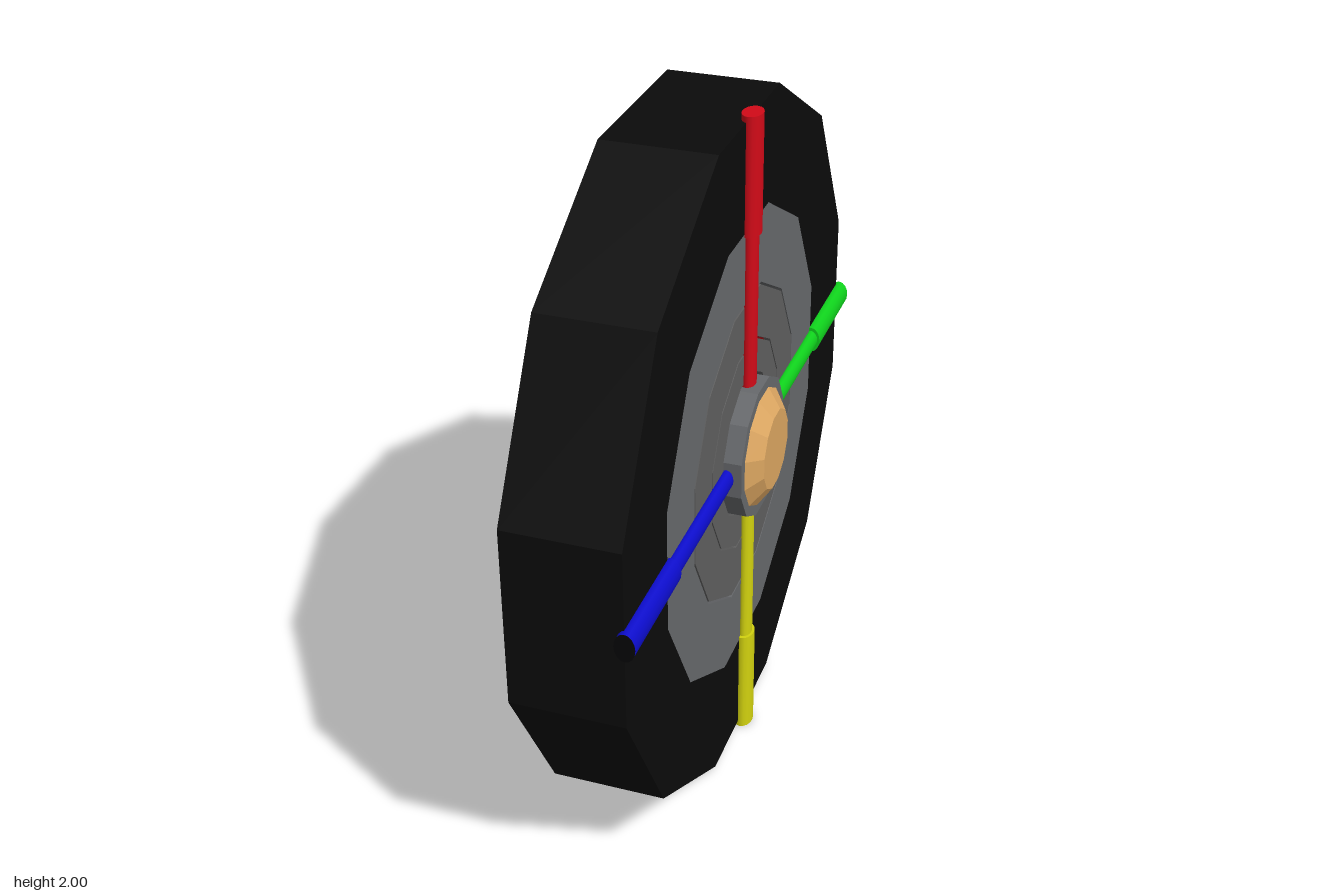
import * as THREE from 'three';

const mat = (color) => new THREE.MeshStandardMaterial({ color, flatShading: true });
const rubber = mat(0x0b0b0b), steel = mat(0x67696c), plate = mat(0x606060);
const red = mat(0xcc0a14), brass = mat(0xdca661);

// Twelve-sided solid around the x axis; profile holds [apothem, x] pairs
function turned(name, profile, material) {
  const k = 1 / Math.cos(Math.PI / 12);
  const pts = profile.map(([r, x]) => new THREE.Vector2(r * k, x));
  const geo = new THREE.LatheGeometry(pts, 12, Math.PI / 12);
  geo.rotateZ(-Math.PI / 2);
  const mesh = new THREE.Mesh(geo, material);
  mesh.name = name;
  return mesh;
}

const ring = (name, ri, ro, x0, x1, material) =>
  turned(name, [[ri, x0], [ro, x0], [ro, x1], [ri, x1], [ri, x0]], material);

// Spoke pointing up, made of a thin rod and a thicker grip, slightly flattened in x
function spoke(name, color, capColor, angle) {
  const g = new THREE.Group();
  g.name = name;
  const side = new THREE.MeshStandardMaterial({ color });
  const cap = new THREE.MeshStandardMaterial({ color: capColor });
  for (const [part, r, a, b] of [['rod', 0.031, 0.19, 0.67], ['grip', 0.042, 0.66, 1]]) {
    const geo = new THREE.CylinderGeometry(r, r, b - a, 16);
    geo.scale(0.68, 1, 1);
    geo.translate(0.146, (a + b) / 2, 0);
    const mesh = new THREE.Mesh(geo, [side, cap, side]);
    mesh.name = part;
    g.add(mesh);
  }
  g.rotation.x = angle;
  return g;
}

export function createModel() {
  const wheel = new THREE.Group();
  wheel.name = 'wheel';
  wheel.position.y = 1;

  // Tyre and rim
  wheel.add(ring('tyre', 0.67, 0.983, -0.18, 0.14, rubber));
  wheel.add(ring('rim', 0.455, 0.67, -0.18, 0.14, steel));

  // Inner rings, separated by narrow gaps
  wheel.add(ring('brakeRing', 0.306, 0.448, -0.18, 0.12, red));
  wheel.add(ring('brakeCover', 0.306, 0.448, 0.12, 0.14, plate));
  wheel.add(ring('innerRing', 0.208, 0.3, -0.18, 0.14, plate));

  // Hub and its bevelled cap
  wheel.add(turned('hub', [[0, -0.235], [0.2, -0.235], [0.2, 0.19], [0, 0.19]], steel));
  wheel.add(turned('hubCap', [[0, 0.185], [0.17, 0.185], [0.17, 0.19], [0.115, 0.23], [0, 0.23]], brass));

  // Four coloured spokes
  wheel.add(spoke('topSpoke', 0xd20a18, 0xd20a18, 0));
  wheel.add(spoke('frontSpoke', 0x0c0ccc, 0x060608, Math.PI / 2));
  wheel.add(spoke('bottomSpoke', 0xd2d20f, 0xd2d20f, Math.PI));
  wheel.add(spoke('backSpoke', 0x0fd21c, 0x060608, -Math.PI / 2));

  const model = new THREE.Group();
  model.name = 'model';
  model.add(wheel);
  return model;
}
